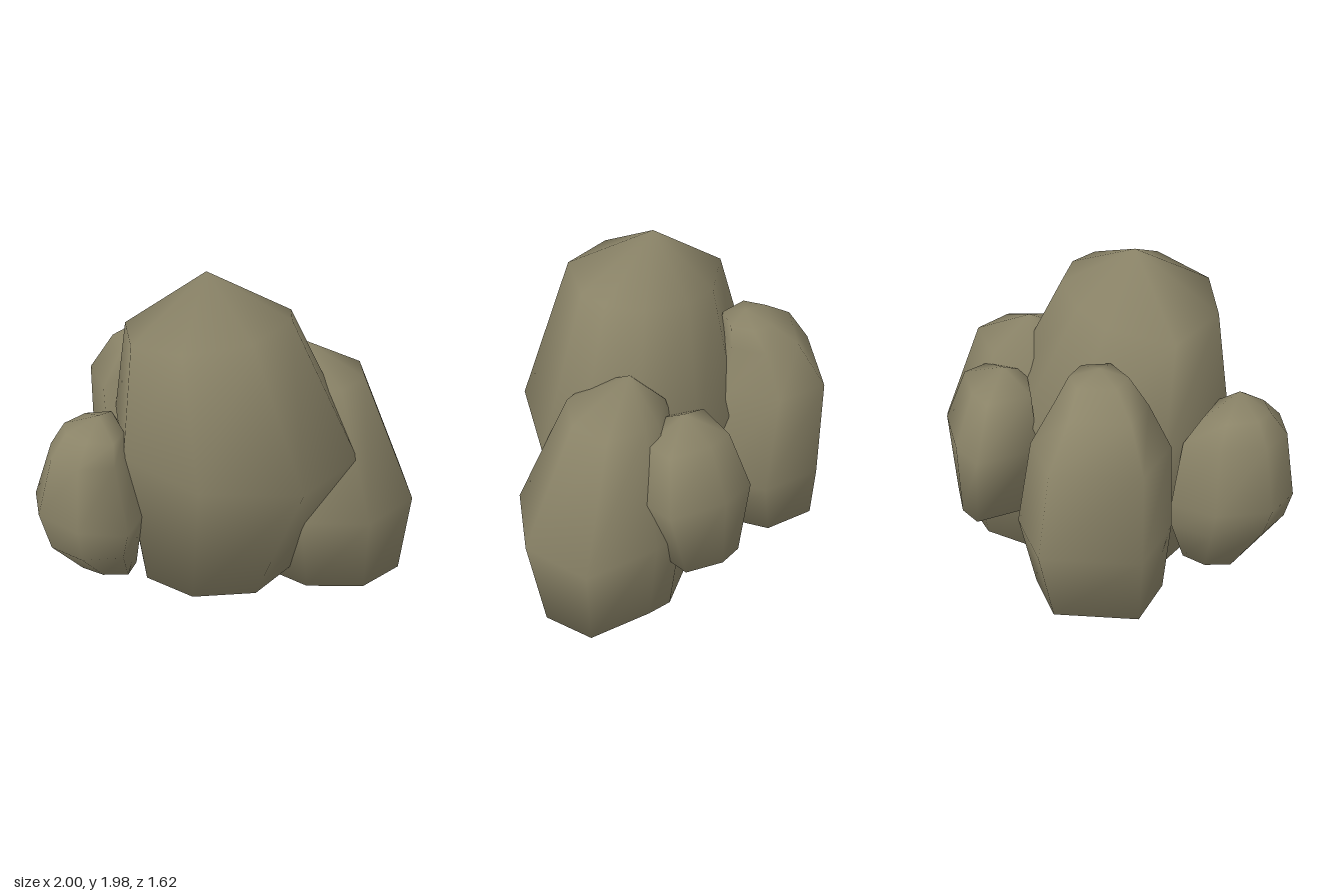
import * as THREE from 'three';
import { toCreasedNormals } from 'three/addons/utils/BufferGeometryUtils.js';

const stone = new THREE.MeshStandardMaterial({ color: 0x8b8468 });
stone.name = 'stone';

// outline: plan polygon [x, z], turning from +x towards +z.
// rings, bottom to top: [y, xMin, xMax, zMin, zMax, tilt in x]; the outline is
// fitted into each ring's rectangle, and a zero-size ring is a pole.
function boulder(name, outline, rings) {
  const xs = outline.map((p) => p[0]), zs = outline.map((p) => p[1]);
  const fit = (v, all, a, b) => {
    const lo = Math.min(...all), hi = Math.max(...all);
    return a + ((v - lo) / (hi - lo)) * (b - a);
  };
  const loops = rings.map(([y, x0, x1, z0, z1, tilt = 0]) => outline.map(([px, pz]) => {
    const x = fit(px, xs, x0, x1);
    return new THREE.Vector3(x, y + tilt * (x - (x0 + x1) / 2), fit(pz, zs, z0, z1));
  }));

  const points = [];
  const n = outline.length;
  const triangle = (a, b, c) => {
    if (a.distanceTo(b) > 1e-5 && b.distanceTo(c) > 1e-5 && c.distanceTo(a) > 1e-5) points.push(a, b, c);
  };
  for (let r = 0; r < loops.length - 1; r++) {
    const low = loops[r], high = loops[r + 1];
    for (let i = 0; i < n; i++) {
      const j = (i + 1) % n;
      triangle(low[i], high[i], low[j]);
      triangle(high[i], high[j], low[j]);
    }
  }
  // Worn stone: shading runs smoothly over the edges
  const geometry = toCreasedNormals(new THREE.BufferGeometry().setFromPoints(points), 1.7);
  const mesh = new THREE.Mesh(geometry, stone);
  mesh.name = name;
  return mesh;
}

export function createModel() {
  const group = new THREE.Group();
  group.name = 'rockCluster';

  // Tall central boulder
  group.add(boulder('mainBoulder',
    [[0.71, 0.05], [0.51, 0.55], [0, 0.75], [-0.47, 0.56], [-0.7, 0.03], [-0.3, -0.37], [0.03, -0.46], [0.42, -0.41], [0.65, -0.19]],
    [
      [0.09, -0.11, -0.11, 0.1, 0.1],
      [0.175, -0.57, 0.35, -0.25, 0.5],
      [1.0, -0.69, 0.71, -0.46, 0.76, -0.1],
      [1.7, -0.57, 0.35, -0.17, 0.62, 0.12],
      [1.98, -0.11, -0.11, 0.16, 0.16],
    ]));

  // Broad boulder behind on the +x side
  group.add(boulder('sideBoulder',
    [[1, -0.2], [0.81, 0.17], [0.45, 0.28], [0.03, 0.05], [0, -0.38], [0.3, -0.65], [0.46, -0.65], [0.87, -0.59]],
    [
      [0, 0.4, 0.4, -0.31, -0.31],
      [0.06, 0.05, 0.94, -0.58, 0.07],
      [0.61, 0, 1, -0.65, 0.28, -0.06],
      [1.29, 0.17, 0.69, -0.48, 0.03],
      [1.47, 0.34, 0.34, -0.25, -0.25],
    ]));

  // Steep-walled boulder behind on the -x side, widening towards its foot
  group.add(boulder('backCornerBoulder',
    [[-0.12, -0.36], [-0.28, 0.02], [-0.73, 0.07], [-0.93, -0.22], [-0.65, -0.68], [-0.31, -0.64]],
    [
      [0.18, -0.6, -0.6, -0.3, -0.3],
      [0.24, -0.93, -0.23, -0.62, 0.01],
      [0.62, -0.93, -0.11, -0.68, 0.07],
      [1.18, -0.93, -0.24, -0.63, 0.03],
      [1.4, -0.78, -0.3, -0.48, -0.05],
      [1.51, -0.61, -0.32, -0.38, -0.1],
      [1.55, -0.45, -0.45, -0.22, -0.22],
    ]));

  // Small boulder at the back
  group.add(boulder('smallBackBoulder',
    [[0.48, -0.53], [0.25, -0.3], [-0.1, -0.42], [-0.07, -0.77], [0.13, -0.81], [0.44, -0.74]],
    [
      [0.38, 0.18, 0.18, -0.58, -0.58],
      [0.44, -0.03, 0.36, -0.8, -0.38],
      [0.88, -0.1, 0.48, -0.81, -0.3],
      [1.19, -0.02, 0.4, -0.69, -0.33],
      [1.29, 0.17, 0.17, -0.49, -0.49],
    ]));

  // Small boulder at the front on the -x side
  group.add(boulder('smallFrontBoulder',
    [[-0.39, 0.45], [-0.4, 0.72], [-0.65, 0.8], [-0.9, 0.72], [-1, 0.52], [-0.88, 0.25], [-0.65, 0.11]],
    [
      [0.24, -0.62, -0.62, 0.45, 0.45],
      [0.27, -0.81, -0.48, 0.22, 0.55],
      [0.53, -0.92, -0.42, 0.13, 0.81],
      [0.7, -1, -0.39, 0.11, 0.81, -0.12],
      [1.07, -0.88, -0.45, 0.18, 0.79],
      [1.18, -0.8, -0.48, 0.3, 0.69, -0.1],
      [1.27, -0.6, -0.6, 0.54, 0.54],
    ]));

  return group;
}
